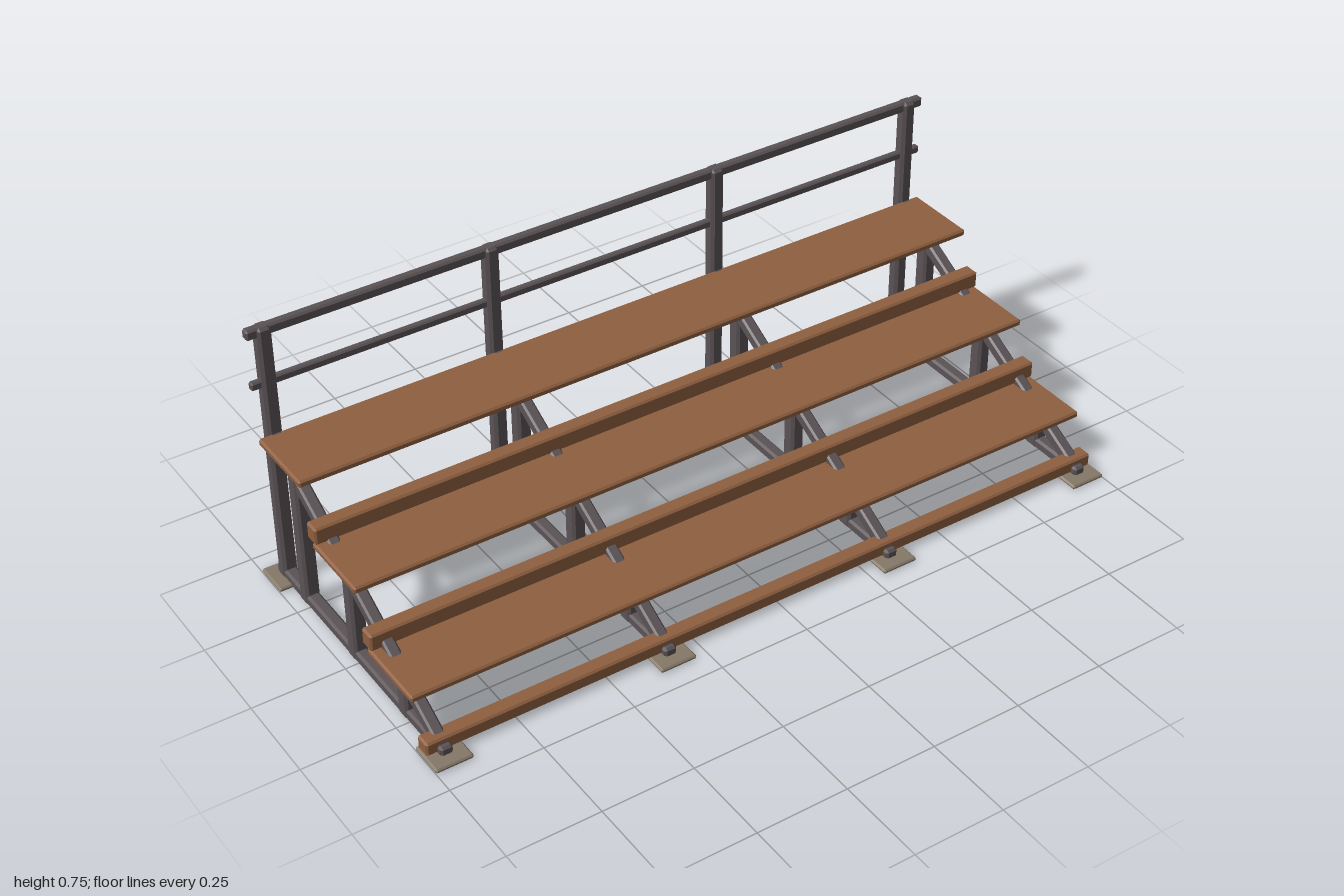
import * as THREE from 'three';
import { ConvexGeometry } from 'three/addons/geometries/ConvexGeometry.js';

const mat = (name, color) => {
  const m = new THREE.MeshStandardMaterial({ color });
  m.name = name;
  return m;
};

// Box with flat chamfered edges
function chamferBox(w, h, d, c) {
  const pts = [];
  for (const sx of [-1, 1]) for (const sy of [-1, 1]) for (const sz of [-1, 1]) {
    const x = w / 2, y = h / 2, z = d / 2;
    pts.push(
      new THREE.Vector3(sx * x, sy * (y - c), sz * (z - c)),
      new THREE.Vector3(sx * (x - c), sy * y, sz * (z - c)),
      new THREE.Vector3(sx * (x - c), sy * (y - c), sz * z));
  }
  return new ConvexGeometry(pts);
}

export function createModel() {
  const wood = mat('brown wood', 0x8f5f3f);
  const steel = mat('dark steel', 0x5b5355);
  const plate = mat('grey footplate', 0x857868);
  const model = new THREE.Group();
  model.name = 'bleachers';

  // Box between y0..y1 and z0..z1, centred on x
  const part = (parent, name, material, x, w, y0, y1, z0, z1, c = 0.004) => {
    const m = new THREE.Mesh(chamferBox(w, y1 - y0, z1 - z0, c), material);
    m.position.set(x, (y0 + y1) / 2, (z0 + z1) / 2);
    m.name = name;
    parent.add(m);
    return m;
  };

  // Four identical steel frames
  for (const x of [-0.95, -0.333, 0.333, 0.95]) {
    const frame = new THREE.Group();
    frame.name = 'supportFrame';
    model.add(frame);
    part(frame, 'frontFootplate', plate, x, 0.1, 0, 0.012, 0.34, 0.44);
    part(frame, 'backFootplate', plate, x, 0.1, 0, 0.012, -0.44, -0.34);
    part(frame, 'baseBeam', steel, x, 0.034, 0.002, 0.033, -0.42, 0.405, 0.006);
    part(frame, 'backPost', steel, x, 0.038, 0.002, 0.755, -0.411, -0.373, 0.008);

    // Seat posts
    for (const [z, top] of [[0.225, 0.13], [-0.024, 0.28], [-0.274, 0.43]])
      part(frame, 'seatPost', steel, x, 0.038, 0.002, top - 0.002, z - 0.021, z + 0.021, 0.007);

    // Sloping stringer from front foot to back post
    const [z0, y0, z1, y1] = [0.385, 0.021, -0.385, 0.439];
    const len = Math.hypot(z1 - z0, y1 - y0);
    const stringer = part(frame, 'stringer', steel, x, 0.032, 0, 0.034, 0, len, 0.005);
    stringer.position.set(x, (y0 + y1) / 2, (z0 + z1) / 2);
    stringer.rotation.x = Math.atan2(y1 - y0, z0 - z1);
  }

  // Seat planks and foot boards
  const L = 1.99;
  for (const [top, z0, z1] of [[0.15, 0.12, 0.33], [0.3, -0.13, 0.08], [0.45, -0.38, -0.17]])
    part(model, 'seatPlank', wood, 0, L, top - 0.02, top, z0, z1, 0.005);
  for (const [y, z] of [[0.011, 0.367], [0.15, 0.12], [0.3, -0.13]])
    part(model, 'footBoard', wood, 0, L, y, y + 0.048 - (y < 0.1 ? 0.01 : 0), z - 0.022, z + 0.022, 0.005);

  // Back guard rails
  part(model, 'topRail', steel, 0, L, 0.727, 0.755, -0.405, -0.38, 0.005);
  part(model, 'middleRail', steel, 0, L, 0.583, 0.605, -0.402, -0.383, 0.004);
  return model;
}
